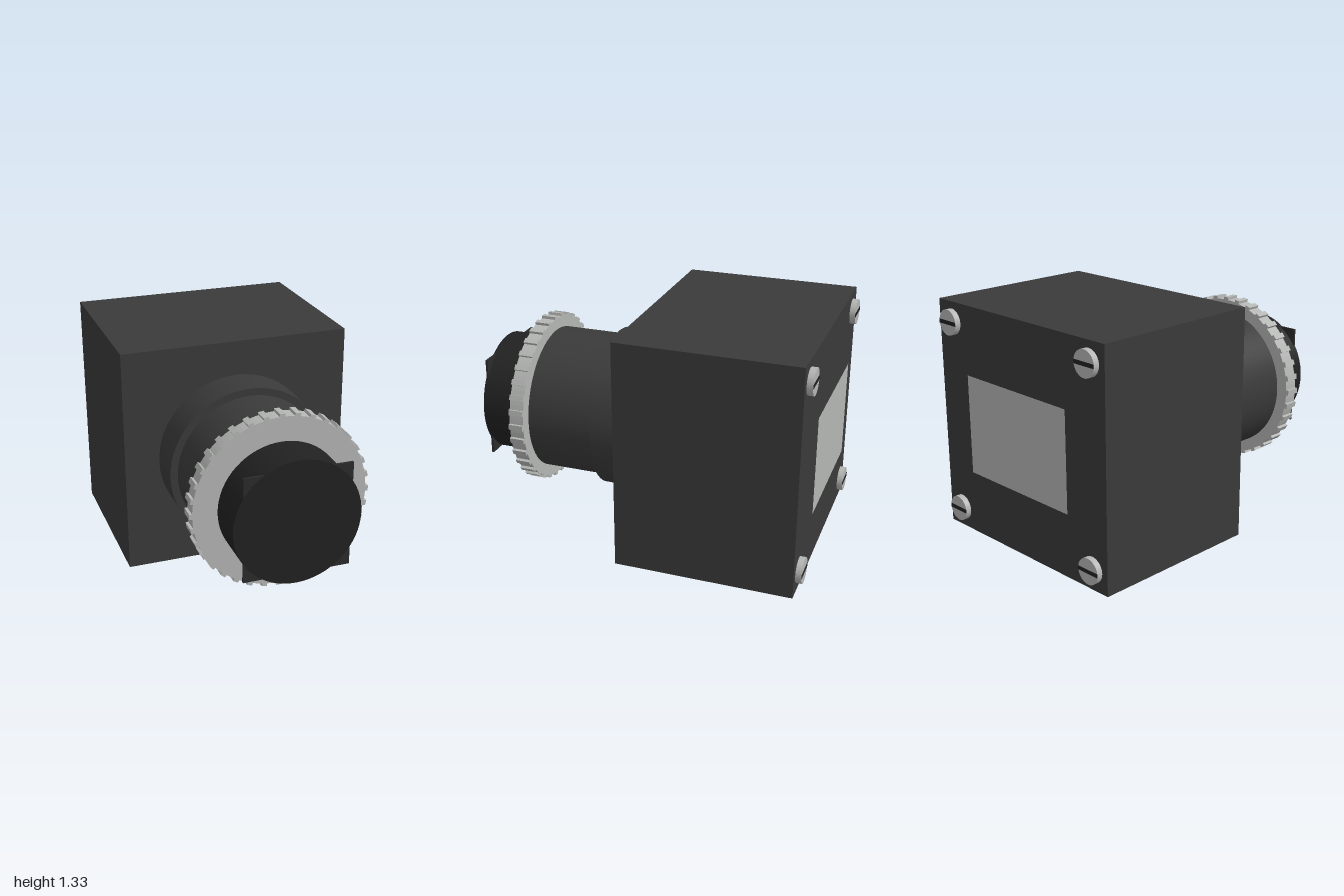
import * as THREE from 'three';

const material = (name, color) => {
  const m = new THREE.MeshStandardMaterial({ color });
  m.name = name;
  return m;
};

export function createModel() {
  const housing = material('charcoal housing', 0x3a3a3a);
  const black = material('black', 0x212121);
  const smoke = material('dark plate', 0x2b2b2b);
  const metal = material('light metal', 0xb4b6b4);

  const group = new THREE.Group();
  const axisY = 0.665;

  const add = (name, geometry, mat, x, y, z) => {
    const mesh = new THREE.Mesh(geometry, mat);
    mesh.name = name;
    mesh.position.set(x, y, z);
    group.add(mesh);
    return mesh;
  };
  // Cylinder along z between two depths
  const drum = (name, radius, z0, z1, mat, x = 0, y = axisY, sides = 64) =>
    add(name, new THREE.CylinderGeometry(radius, radius, z1 - z0, sides).rotateX(Math.PI / 2),
      mat, x, y, (z0 + z1) / 2);

  // Camera body
  add('body', new THREE.BoxGeometry(1.33, 1.33, 1.02), housing, 0, axisY, -0.455);

  // Stepped lens barrel
  drum('mountCollar', 0.465, 0.05, 0.28, housing);
  drum('lensBarrel', 0.423, 0.27, 0.69, housing);
  drum('frontBarrel', 0.353, 0.7, 1, black);

  // Square plate just behind the front rim
  add('frontPlate', new THREE.BoxGeometry(0.595, 0.595, 0.013), smoke, 0, axisY, 0.9915);

  // Knurled focus ring: 36 small teeth round a disc
  const outline = [];
  const teeth = 36, root = 0.491, tip = 0.507, half = 0.031;
  for (let i = 0; i < teeth; i++) {
    const a = (i / teeth) * Math.PI * 2;
    for (const [r, da] of [[root, -half], [tip, -half], [tip, half], [root, half], [root, Math.PI / teeth]])
      outline.push(new THREE.Vector2(r * Math.cos(a + da), r * Math.sin(a + da)));
  }
  add('focusRing', new THREE.ExtrudeGeometry(new THREE.Shape(outline), { depth: 0.085, bevelEnabled: false }),
    metal, 0, axisY, 0.675);

  // Rear label panel, a thin sheet standing just off the body
  add('rearPanel', new THREE.PlaneGeometry(0.8, 0.568).rotateY(Math.PI), metal, 0, axisY, -0.993);

  // Slotted corner screws
  for (const x of [-0.553, 0.553]) {
    for (const y of [0.115, 1.217]) {
      drum('screwHead', 0.073, -0.998, -0.96, metal, x, y, 32);
      add('screwSlot', new THREE.BoxGeometry(0.143, 0.022, 0.012), black, x, y, -0.994);
    }
  }
  return group;
}
